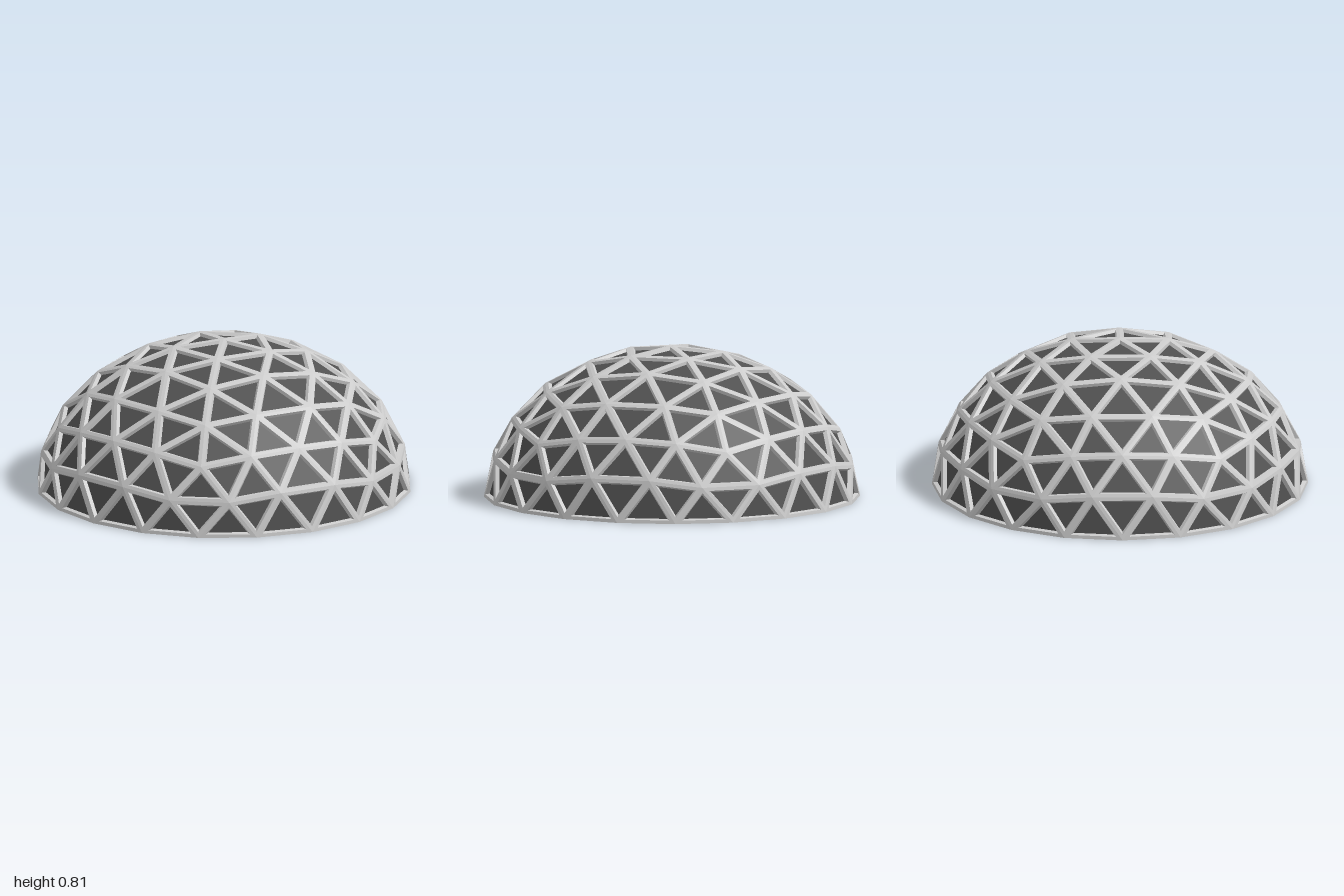
import * as THREE from 'three';

const HEIGHT = 0.81; // flattening of the hemisphere

// Triangles of a vertex-up icosahedral hemisphere, each split in 16 on the unit sphere
function domeTriangles() {
  const ring = (y, turn) => Array.from({ length: 5 }, (_, i) => {
    const a = ((i + turn) * Math.PI * 2) / 5;
    const r = Math.sqrt(1 - y * y);
    return new THREE.Vector3(r * Math.cos(a), y, -r * Math.sin(a));
  });
  const top = new THREE.Vector3(0, 1, 0);
  const upper = ring(Math.sqrt(0.2), 0);
  const lower = ring(-Math.sqrt(0.2), 0.5);
  let tris = [];
  for (let i = 0; i < 5; i++) {
    const j = (i + 1) % 5;
    tris.push([top, upper[i], upper[j]], [upper[i], lower[i], upper[j]], [lower[i], lower[j], upper[j]]);
  }
  const mid = (a, b) => a.clone().add(b).normalize();
  for (let n = 0; n < 2; n++) {
    tris = tris.flatMap(([a, b, c]) => {
      const ab = mid(a, b), bc = mid(b, c), ca = mid(c, a);
      return [[a, ab, ca], [ab, b, bc], [ca, bc, c], [ab, bc, ca]];
    });
  }
  return tris
    .filter((t) => t.every((p) => p.y > -1e-6))
    .map((t) => t.map((p) => new THREE.Vector3(p.x, Math.max(0, p.y) * HEIGHT, p.z)));
}

// Triangle scaled towards the dome centre, with its sides moved in by w
function insetTriangle(tri, scale, w) {
  const [a, b, c] = tri.map((p) => p.clone().multiplyScalar(scale));
  const la = b.distanceTo(c), lb = c.distanceTo(a), lc = a.distanceTo(b);
  const sum = la + lb + lc;
  const centre = new THREE.Vector3()
    .addScaledVector(a, la / sum).addScaledVector(b, lb / sum).addScaledVector(c, lc / sum);
  const area = b.clone().sub(a).cross(c.clone().sub(a)).length() / 2;
  const t = w / ((2 * area) / sum);
  return [a, b, c].map((p) => p.lerp(centre, t));
}

function flatGeometry(points) {
  const g = new THREE.BufferGeometry().setFromPoints(points);
  g.computeVertexNormals();
  return g;
}

export function createModel() {
  const dome = new THREE.Group();
  dome.name = 'geodesicDome';
  const tris = domeTriangles();

  // Half strut section: [scale, distance from the triangle's edge]
  const section = [[1, 0], [1, 0.018], [0.98, 0.024], [0.96, 0.018], [0.96, 0]];
  const struts = [];
  const panels = [];
  const quad = (a, b, c, d) => struts.push(a, b, c, a, c, d);

  for (const tri of tris) {
    const loops = section.map(([s, w]) => insetTriangle(tri, s, w));
    for (let i = 0; i < 3; i++) {
      const j = (i + 1) % 3;
      for (let k = 0; k < 4; k++) {
        quad(loops[k][i], loops[k][j], loops[k + 1][j], loops[k + 1][i]);
      }
      // Underside of the base ring
      if (tri[i].y < 1e-6 && tri[j].y < 1e-6) {
        quad(loops[0][j], loops[0][i], loops[4][i], loops[4][j]);
      }
    }
    panels.push(...insetTriangle(tri, 0.98, 0));
  }

  const frame = new THREE.Mesh(
    flatGeometry(struts),
    new THREE.MeshStandardMaterial({ color: 0xcccccc, flatShading: true, side: THREE.DoubleSide })
  );
  frame.name = 'strutFrame';

  const glazing = new THREE.Mesh(
    flatGeometry(panels),
    new THREE.MeshStandardMaterial({ color: 0x505050, flatShading: true, side: THREE.DoubleSide })
  );
  glazing.name = 'panels';

  dome.add(frame, glazing);
  return dome;
}
